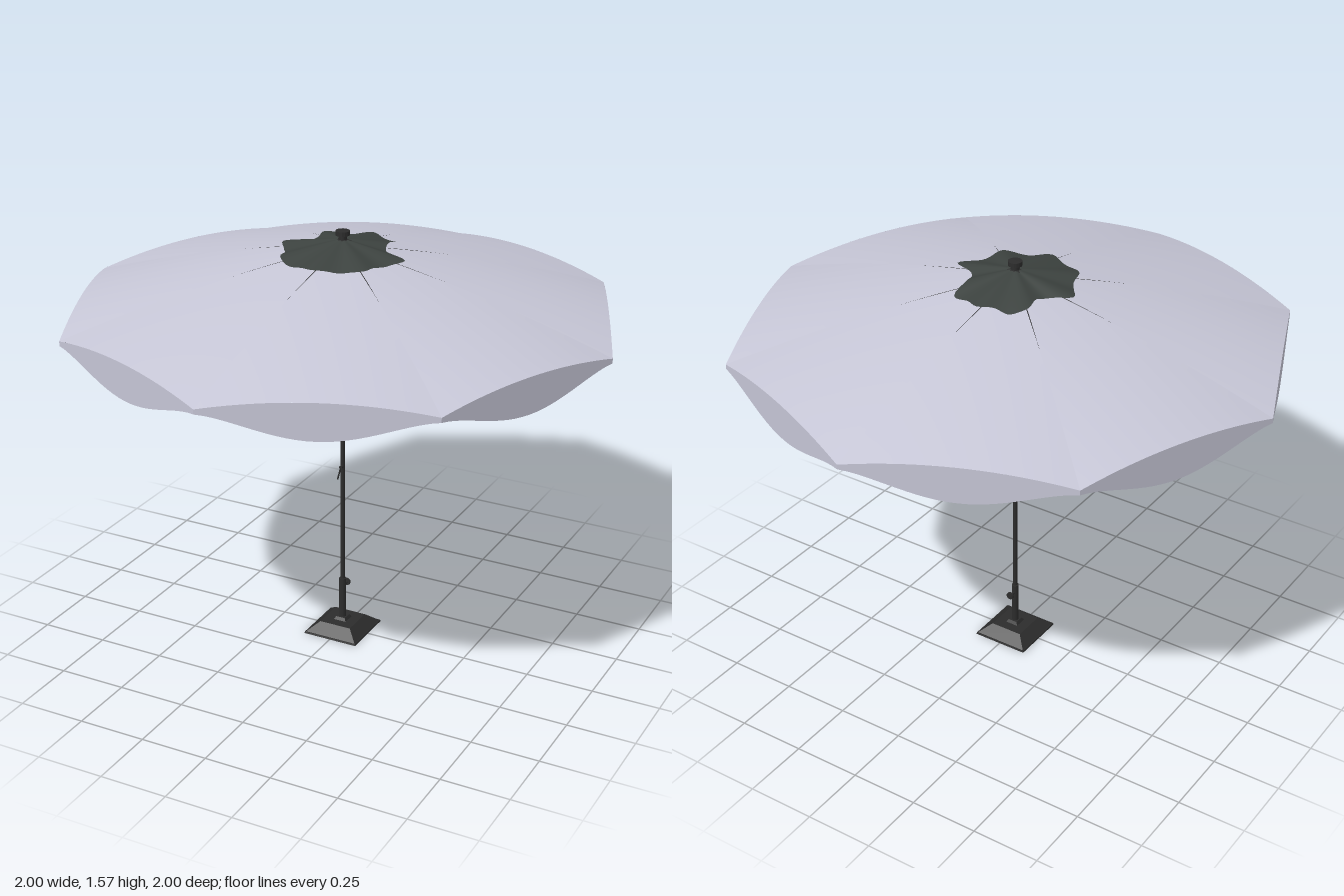
import * as THREE from 'three';
import { ParametricGeometry } from 'three/addons/geometries/ParametricGeometry.js';

const SIDES = 8;
const fabric = new THREE.MeshStandardMaterial({ color: 0xc6c6d6, side: THREE.DoubleSide });
const flapCloth = new THREE.MeshStandardMaterial({ color: 0x3c423f, side: THREE.DoubleSide });
const metal = new THREE.MeshStandardMaterial({ color: 0x2c2c2c });

// Height of a rib line at radius r, and upward billow of a panel at t across it
const ribY = (r) => 1.51 - 0.15 * r - 0.09 * r * r;
const billow = (t, r) => 0.14 * t * (1 - t) * r * r;
const corner = (i) => {
  const a = (i / SIDES) * Math.PI * 2;
  return new THREE.Vector3(Math.cos(a), 0, Math.sin(a));
};

function add(parent, name, geometry, material, x = 0, y = 0, z = 0) {
  const mesh = new THREE.Mesh(geometry, material);
  mesh.name = name;
  mesh.position.set(x, y, z);
  parent.add(mesh);
  return mesh;
}

// Smooth surface from a function of (u, v)
function surface(fn, nu, nv) {
  const g = new ParametricGeometry(fn, nu, nv);
  g.computeVertexNormals();
  return g;
}

// Round bar through a list of points
function bar(points, radius, segments = 1) {
  const curve = points.length > 2 ? new THREE.CatmullRomCurve3(points) : new THREE.LineCurve3(...points);
  return new THREE.TubeGeometry(curve, segments, radius, 8);
}

// One of the eight panels with its hanging scalloped valance
function panel(i) {
  const a = corner(i), b = corner(i + 1);
  const group = new THREE.Group();
  group.name = 'canopyPanel';
  add(group, 'panelCloth', surface((t, v, p) => {
    const r = 0.01 + 0.99 * v;
    p.lerpVectors(a, b, t).multiplyScalar(r);
    p.y = ribY(r) + billow(t, r);
  }, 20, 20), fabric);
  add(group, 'valance', surface((t, v, p) => {
    const top = ribY(1) + billow(t, 1);
    const bottom = 1.253 - 0.078 * Math.pow(Math.max(0, Math.sin(Math.PI * t)), 1.5);
    p.lerpVectors(a, b, t);
    p.y = THREE.MathUtils.lerp(top, bottom, v);
  }, 24, 4), fabric);
  return group;
}

// Ragged, ruffled flap over the crown; outline radii every 15 degrees
function ventFlap() {
  const radii = [0.24, 0.215, 0.205, 0.235, 0.22, 0.215, 0.235, 0.22, 0.23, 0.225, 0.2, 0.21,
    0.235, 0.18, 0.165, 0.22, 0.235, 0.21, 0.235, 0.215, 0.23, 0.17, 0.15, 0.16];
  const outline = new THREE.CatmullRomCurve3(radii.map((r, i) => {
    const a = (i / radii.length) * Math.PI * 2;
    return new THREE.Vector3(r * Math.cos(a), 0, r * Math.sin(a));
  }), true);
  return surface((u, v, p) => {
    outline.getPoint(u % 1, p).multiplyScalar(0.05 + 0.95 * v);
    const r = Math.hypot(p.x, p.z);
    p.y = ribY(r) + 0.024 - 0.01 * v + 0.007 * v * Math.cos(u * Math.PI * 16);
  }, 96, 10);
}

export function createModel() {
  const model = new THREE.Group();
  model.name = 'patioUmbrella';

  // Square base: thin plate, sloped body and raised collar
  const frustum = (bottom, top, h) =>
    new THREE.CylinderGeometry(top * Math.SQRT2, bottom * Math.SQRT2, h, 4, 1)
      .rotateY(Math.PI / 4).toNonIndexed();
  const base = new THREE.Group();
  base.name = 'base';
  model.add(base);
  [['basePlate', 0.107, 0.105, 0.006, 0.003], ['baseSlope', 0.102, 0.062, 0.034, 0.023],
    ['baseCollar', 0.025, 0.018, 0.012, 0.045]].forEach(([name, b, t, h, y]) => {
    const g = frustum(b, t, h);
    g.computeVertexNormals();
    add(base, name, g, metal, 0, y, 0);
  });

  // Sleeve with its clamping knob at the back
  add(model, 'baseSleeve', new THREE.CylinderGeometry(0.013, 0.013, 0.18, 16), metal, 0, 0.12, 0);
  const alongZ = (r, len) => new THREE.CylinderGeometry(r, r, len, 12).rotateX(Math.PI / 2);
  add(model, 'knobStem', alongZ(0.005, 0.03), metal, 0, 0.178, -0.02);
  add(model, 'knobHead', alongZ(0.014, 0.008), metal, 0, 0.178, -0.034);

  // Pole and finial
  add(model, 'pole', new THREE.CylinderGeometry(0.008, 0.008, 1.5, 16), metal, 0, 0.78, 0);
  const finial = [[0, 1.51], [0.03, 1.515], [0.03, 1.527], [0.015, 1.532], [0.015, 1.544],
    [0.025, 1.547], [0.025, 1.563], [0, 1.565]].map(([x, y]) => new THREE.Vector2(x, y));
  const finialGeometry = new THREE.LatheGeometry(finial, 16).toNonIndexed();
  finialGeometry.computeVertexNormals();
  add(model, 'finial', finialGeometry, metal);

  // Crank on the pole, and the lifting cord
  const crank = new THREE.Group();
  crank.name = 'crank';
  model.add(crank);
  add(crank, 'crankHousing', new THREE.BoxGeometry(0.012, 0.08, 0.012), metal, 0.003, 0.74, 0.004);
  add(crank, 'crankAxle', alongZ(0.006, 0.014), metal, 0, 0.67, 0.01);
  add(crank, 'crankArm', bar([new THREE.Vector3(0, 0.67, 0.015), new THREE.Vector3(-0.013, 0.62, 0.015)], 0.003), metal);
  add(model, 'cord', bar([new THREE.Vector3(0, 0.67, 0.015), new THREE.Vector3(0, 1.26, 0.015)], 0.0012), metal);

  // Canopy panels, crown flap
  for (let i = 0; i < SIDES; i++) model.add(panel(i));
  add(model, 'ventFlap', ventFlap(), flapCloth);

  // Upper hub, sliding runner, ribs and struts
  add(model, 'upperHub', new THREE.CylinderGeometry(0.022, 0.022, 0.03, 16), metal, 0, 1.48, 0);
  add(model, 'runner', new THREE.CylinderGeometry(0.018, 0.018, 0.035, 16), metal, 0, 1.285, 0);
  for (let i = 0; i < SIDES; i++) {
    const at = (r, y) => corner(i).multiplyScalar(r).setY(y);
    const ribPoints = [0.01, 0.25, 0.5, 0.75, 0.99].map((r) => at(r, ribY(r) - 0.0045 - 0.004 * r));
    add(model, 'rib', bar(ribPoints, 0.006, 16), metal);
    add(model, 'strut', bar([at(0.015, 1.285), at(0.27, ribY(0.27) - 0.008)], 0.005), metal);
  }
  return model;
}
